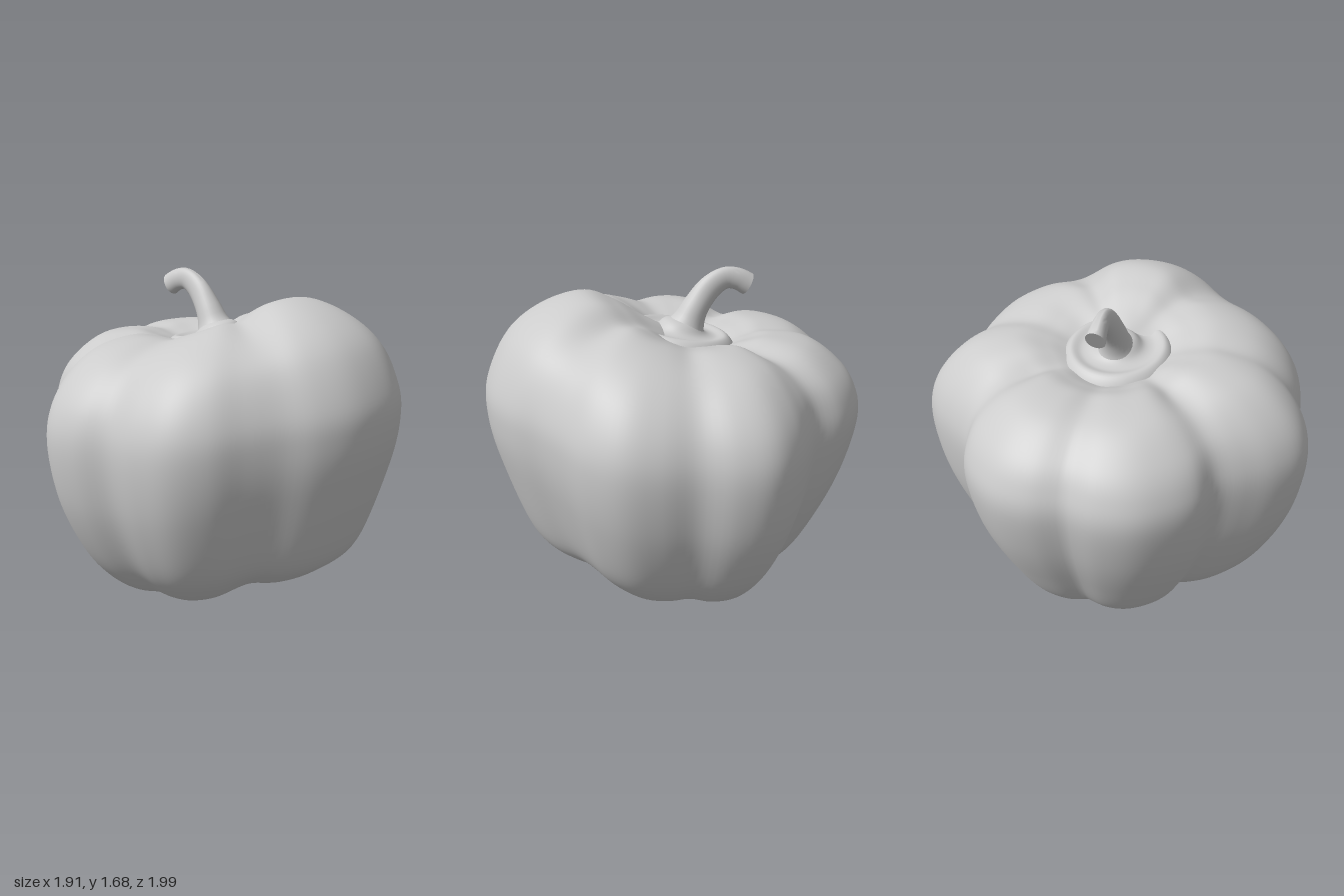
import * as THREE from 'three';
import { mergeVertices, toCreasedNormals } from 'three/addons/utils/BufferGeometryUtils.js';

const { smoothstep, lerp, radToDeg } = THREE.MathUtils;
const spline = (pts) => new THREE.SplineCurve(pts.map(([a, b]) => new THREE.Vector2(a, b)));

// Closed rings stacked along v; point(theta, v) returns [x, y, z]
function loft(cols, rows, point) {
  const pos = [], index = [];
  for (let j = 0; j <= rows; j++)
    for (let i = 0; i < cols; i++) pos.push(...point((i / cols) * Math.PI * 2, j / rows));
  for (let j = 0; j < rows; j++)
    for (let i = 0; i < cols; i++) {
      const a = j * cols + i, b = j * cols + ((i + 1) % cols);
      index.push(a, a + cols, b, b, a + cols, b + cols);
    }
  let geo = new THREE.BufferGeometry();
  geo.setAttribute('position', new THREE.Float32BufferAttribute(pos, 3));
  geo.setIndex(index);
  geo = mergeVertices(geo, 1e-5);
  geo.computeVertexNormals();
  return geo;
}

// Lobed outline radius every 10 degrees from +x round to -x, mirrored in z
const outline = spline([
  1.005, 1.0, 0.97, 0.928, 0.938, 0.985, 1.005, 0.972, 0.935, 0.985,
  1.0, 0.94, 0.86, 0.815, 0.88, 0.915, 0.935, 0.92, 0.875,
].map((r, i) => [i, r]));

// Vertical profiles (share of outline radius, height), bottom centre to top centre
const lowSide = spline([[0, 0.13], [0.12, 0.08], [0.3, 0], [0.5, 0.05], [0.67, 0.18], [0.83, 0.45],
  [0.94, 0.7], [1, 0.95], [0.97, 1.1], [0.88, 1.22], [0.71, 1.33], [0.5, 1.36], [0.36, 1.33], [0.2, 1.28], [0, 1.3]]);
const flank = spline([[0, 0.13], [0.14, 0.1], [0.35, 0.06], [0.58, 0.09], [0.74, 0.22], [0.86, 0.4],
  [0.96, 0.65], [1, 0.92], [0.97, 1.1], [0.87, 1.25], [0.72, 1.36], [0.52, 1.41], [0.36, 1.39], [0.2, 1.34], [0, 1.32]]);
const highSide = spline([[0, 0.13], [0.14, 0.13], [0.35, 0.155], [0.55, 0.175], [0.7, 0.25], [0.83, 0.4],
  [0.96, 0.8], [1, 1.03], [0.98, 1.2], [0.87, 1.41], [0.7, 1.54], [0.5, 1.6], [0.35, 1.55], [0.2, 1.46], [0, 1.36]]);

// Creases between lobes: angle, width (degrees), depth
const grooves = [[33, 10, 0.05], [80, 8, 0.015], [130, 11, 0.06], [180, 8, 0.02]];

function bodyPoint(theta, v) {
  const deg = radToDeg(Math.abs(theta > Math.PI ? theta - 2 * Math.PI : theta));
  const c = Math.cos(theta);
  const p = flank.getPoint(v).lerp((c > 0 ? highSide : lowSide).getPoint(v), c * c);
  let dip = 0;
  for (const [at, width, depth] of grooves) dip += depth * Math.exp(-(((deg - at) / width) ** 2));
  // Grooves sink the crown and lift the underside, fading towards both centres
  const crown = smoothstep(v, 0.6, 0.78) * smoothstep(1 - v, 0.04, 0.24);
  const under = smoothstep(1 - v, 0.55, 0.8) * smoothstep(v, 0.03, 0.2);
  const q = Math.max(0, p.x);
  const r = q * lerp(0.94, outline.getPoint(deg / 180).y, smoothstep(q, 0.05, 0.6));
  return [-0.05 + r * c, p.y + dip * (0.5 * under - crown), r * Math.sin(theta)];
}

// Rippled cap under the stem, tilted with the crown
const capProfile = spline([[0.29, -0.1], [0.275, -0.04], [0.235, 0], [0.18, -0.015], [0.13, -0.005], [0.08, 0.04], [0, 0.06]]);
function capPoint(theta, v) {
  const p = capProfile.getPoint(v);
  const q = Math.max(0, p.x), x = q * Math.cos(theta);
  return [-0.05 + x, 1.385 + p.y + 0.17 * x, q * Math.sin(theta)];
}

// Stem centre line and its radii (in the bend plane, across it)
const stemPath = spline([[-0.06, 1.34], [-0.09, 1.41], [-0.13, 1.49], [-0.2, 1.58], [-0.28, 1.628], [-0.35, 1.622], [-0.407, 1.592]]);
const stemRadii = spline([[0.15, 0.13], [0.09, 0.085], [0.07, 0.065], [0.064, 0.045], [0.057, 0.034], [0.056, 0.04], [0.058, 0.048]]);
function stemPoint(theta, v) {
  const t = Math.min(1, v / 0.96), open = v > 0.98 ? 0 : 1;
  const p = stemPath.getPoint(t), d = stemPath.getTangent(t), r = stemRadii.getPoint(t);
  const a = r.x * Math.cos(theta) * open;
  return [p.x + d.y * a, p.y - d.x * a, r.y * Math.sin(theta) * open];
}

export function createModel() {
  const group = new THREE.Group();
  group.name = 'bellPepper';
  const material = new THREE.MeshStandardMaterial({ color: 0xcccccc });
  const add = (name, geo) => {
    const mesh = new THREE.Mesh(geo, material);
    mesh.name = name;
    group.add(mesh);
  };
  add('body', loft(180, 100, bodyPoint));
  add('stemCap', loft(64, 30, capPoint));
  add('stem', toCreasedNormals(loft(28, 25, stemPoint), 0.9));
  return group;
}
